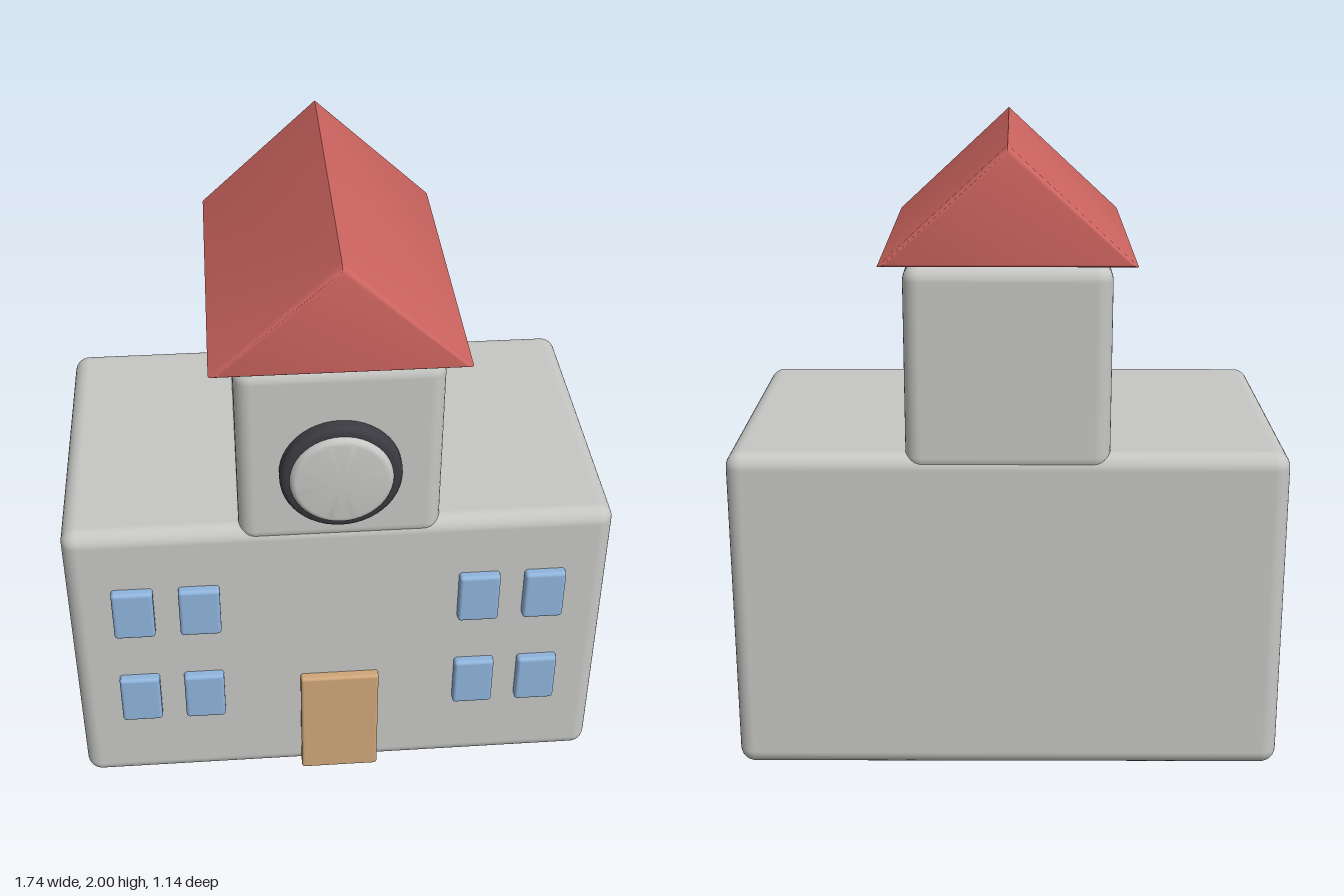
import * as THREE from 'three';
import { RoundedBoxGeometry } from 'three/addons/geometries/RoundedBoxGeometry.js';
import { toCreasedNormals } from 'three/addons/utils/BufferGeometryUtils.js';

const paint = (name, color) => {
  const material = new THREE.MeshStandardMaterial({ color });
  material.name = name;
  return material;
};

export function createModel() {
  const stone = paint('stone grey', 0xc6c6c4);
  const roofRed = paint('roof red', 0xcd645f);
  const glass = paint('window blue', 0x8fb4dc);
  const wood = paint('door tan', 0xcfa679);
  const dark = paint('clock rim dark', 0x3a3a40);

  const model = new THREE.Group();
  model.name = 'townHall';

  const add = (name, geometry, material, x = 0, y = 0, z = 0) => {
    const mesh = new THREE.Mesh(geometry, material);
    mesh.name = name;
    mesh.position.set(x, y, z);
    model.add(mesh);
    return mesh;
  };

  // Rounded block given by its lower and upper limits
  const block = (name, material, [x0, x1], [y0, y1], [z0, z1], radius) =>
    add(name, new RoundedBoxGeometry(x1 - x0, y1 - y0, z1 - z0, 4, radius), material,
      (x0 + x1) / 2, (y0 + y1) / 2, (z0 + z1) / 2);

  // Main hall and clock tower
  block('hall', stone, [-0.87, 0.87], [0, 1.06], [-0.545, 0.51], 0.05);
  block('tower', stone, [-0.315, 0.315], [1.0, 1.645], [-0.545, 0.51], 0.05);

  // Gabled roof with softened gable ends
  const gable = new THREE.Shape([
    new THREE.Vector2(-0.385, 1.645),
    new THREE.Vector2(0.385, 1.645),
    new THREE.Vector2(0, 2.0),
  ]);
  const bevel = 0.02;
  const roof = new THREE.ExtrudeGeometry(gable, {
    depth: 1.11 - 2 * bevel, bevelEnabled: true, bevelThickness: bevel,
    bevelSize: bevel, bevelOffset: -bevel, bevelSegments: 4,
  });
  add('roof', toCreasedNormals(roof, 0.7), roofRed, 0, 0, -0.57 + bevel);

  // Front door
  block('door', wood, [-0.13, 0.13], [0.005, 0.43], [0.48, 0.54], 0.01);

  // Two rows of paired windows on each side
  for (const side of [-1, 1]) {
    for (const x of [0.45, 0.662]) {
      for (const y of [0.375, 0.748]) {
        block('window', glass, [side * x - 0.066, side * x + 0.066],
          [y - 0.093, y + 0.093], [0.48, 0.54], 0.012);
      }
    }
  }

  // Disc with a rounded front edge, turned to face forward
  const disc = (name, material, radius, depth, round) => {
    const points = [new THREE.Vector2(radius, 0)];
    for (let i = 0; i <= 6; i++) {
      const a = (i / 6) * Math.PI / 2;
      points.push(new THREE.Vector2(
        radius - round + round * Math.cos(a), depth - round + round * Math.sin(a)));
    }
    points.push(new THREE.Vector2(0, depth));
    const geometry = toCreasedNormals(new THREE.LatheGeometry(points, 48), 0.6);
    add(name, geometry, material, 0, 1.275, 0.5).rotation.x = Math.PI / 2;
  };

  // Clock
  disc('clockRim', dark, 0.187, 0.053, 0.022);
  disc('clockFace', stone, 0.158, 0.072, 0.022);

  return model;
}
